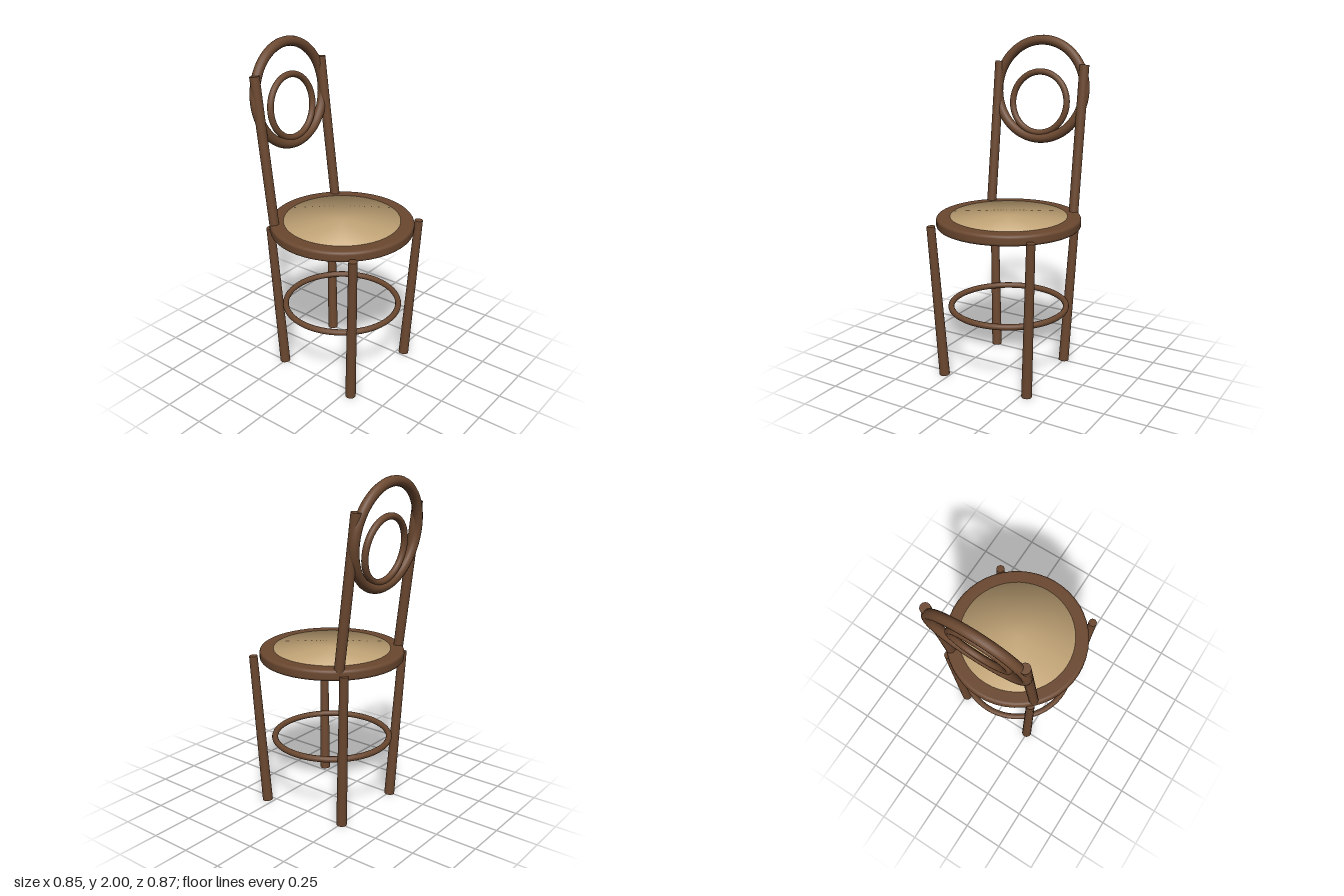
import * as THREE from 'three';

const wood = new THREE.MeshStandardMaterial({ color: 0x6b4830 });
wood.name = 'brownWood';
const cane = new THREE.MeshStandardMaterial({ color: 0xc4a678 });
cane.name = 'cane';

const SEAT_Z = 0.01;   // the seat sits slightly forward
const LEAN = -0.122;   // backward lean of the backrest

function add(parent, name, geometry, material) {
  const mesh = new THREE.Mesh(geometry, material);
  mesh.name = name;
  parent.add(mesh);
  return mesh;
}

// Round rod from point a (bottom) to point b (top)
function rod(parent, name, a, b, rBottom, rTop) {
  const from = new THREE.Vector3(...a), to = new THREE.Vector3(...b);
  const dir = to.clone().sub(from);
  const mesh = add(parent, name, new THREE.CylinderGeometry(rTop, rBottom, dir.length(), 20), wood);
  mesh.position.copy(from).add(to).multiplyScalar(0.5);
  mesh.quaternion.setFromUnitVectors(new THREE.Vector3(0, 1, 0), dir.normalize());
  return mesh;
}

// Seat rim: flat ring with a rounded outer edge
function rimGeometry() {
  const r = 0.427, inner = 0.34, y0 = 0.912, y1 = 0.976, bevel = 0.018, steps = 5;
  const points = [new THREE.Vector2(inner, y0)];
  for (const [cy, start] of [[y0 + bevel, -Math.PI / 2], [y1 - bevel, 0]]) {
    for (let i = 0; i <= steps; i++) {
      const a = start + (i / steps) * Math.PI / 2;
      points.push(new THREE.Vector2(r - bevel + Math.cos(a) * bevel, cy + Math.sin(a) * bevel));
    }
  }
  points.push(new THREE.Vector2(inner, y1));
  return new THREE.LatheGeometry(points, 48);
}

// Cane panel: disc whose normals are smoothed over its edge
function panelGeometry() {
  const radius = 0.346;
  const geometry = new THREE.CylinderGeometry(radius, radius, 0.066, 48);
  const p = geometry.attributes.position, n = geometry.attributes.normal;
  const v = new THREE.Vector3();
  for (let i = 0; i < p.count; i++) {
    v.set(p.getX(i) / radius, Math.sign(p.getY(i)), p.getZ(i) / radius).normalize();
    n.setXYZ(i, v.x, v.y, v.z);
  }
  return geometry;
}

export function createModel() {
  const chair = new THREE.Group();
  chair.name = 'chair';

  // Seat
  const seat = new THREE.Group();
  seat.name = 'seat';
  seat.position.z = SEAT_Z;
  chair.add(seat);
  add(seat, 'seatRim', rimGeometry(), wood);
  add(seat, 'canePanel', panelGeometry(), cane).position.y = 0.944;

  // Legs and back posts, mirrored
  for (const [s, side] of [[1, 'left'], [-1, 'right']]) {
    rod(chair, side + 'FrontLeg', [s * 0.285, 0.004, 0.292], [s * 0.33, 0.94, 0.336], 0.031, 0.025);
    rod(chair, side + 'BackLeg', [s * 0.246, 0.004, -0.255], [s * 0.287, 0.94, -0.299], 0.031, 0.025);
    rod(chair, side + 'BackPost', [s * 0.288, 0.94, -0.264], [s * 0.288, 1.836, -0.373], 0.029, 0.029);
  }

  // Stretcher hoop between the legs
  const stretcher = add(chair, 'stretcherRing', new THREE.TorusGeometry(0.347, 0.018, 12, 64), wood);
  stretcher.rotation.x = Math.PI / 2;
  stretcher.position.set(0, 0.413, SEAT_Z);

  // Backrest hoops, leaning with the posts
  const hoops = [['outerBackHoop', 0.295, 0.029, 1.678, -0.368], ['innerBackHoop', 0.184, 0.019, 1.601, -0.357]];
  for (const [name, radius, tube, y, z] of hoops) {
    const hoop = add(chair, name, new THREE.TorusGeometry(radius, tube, 14, 64), wood);
    hoop.position.set(0, y, z);
    hoop.rotation.x = LEAN;
  }

  return chair;
}
